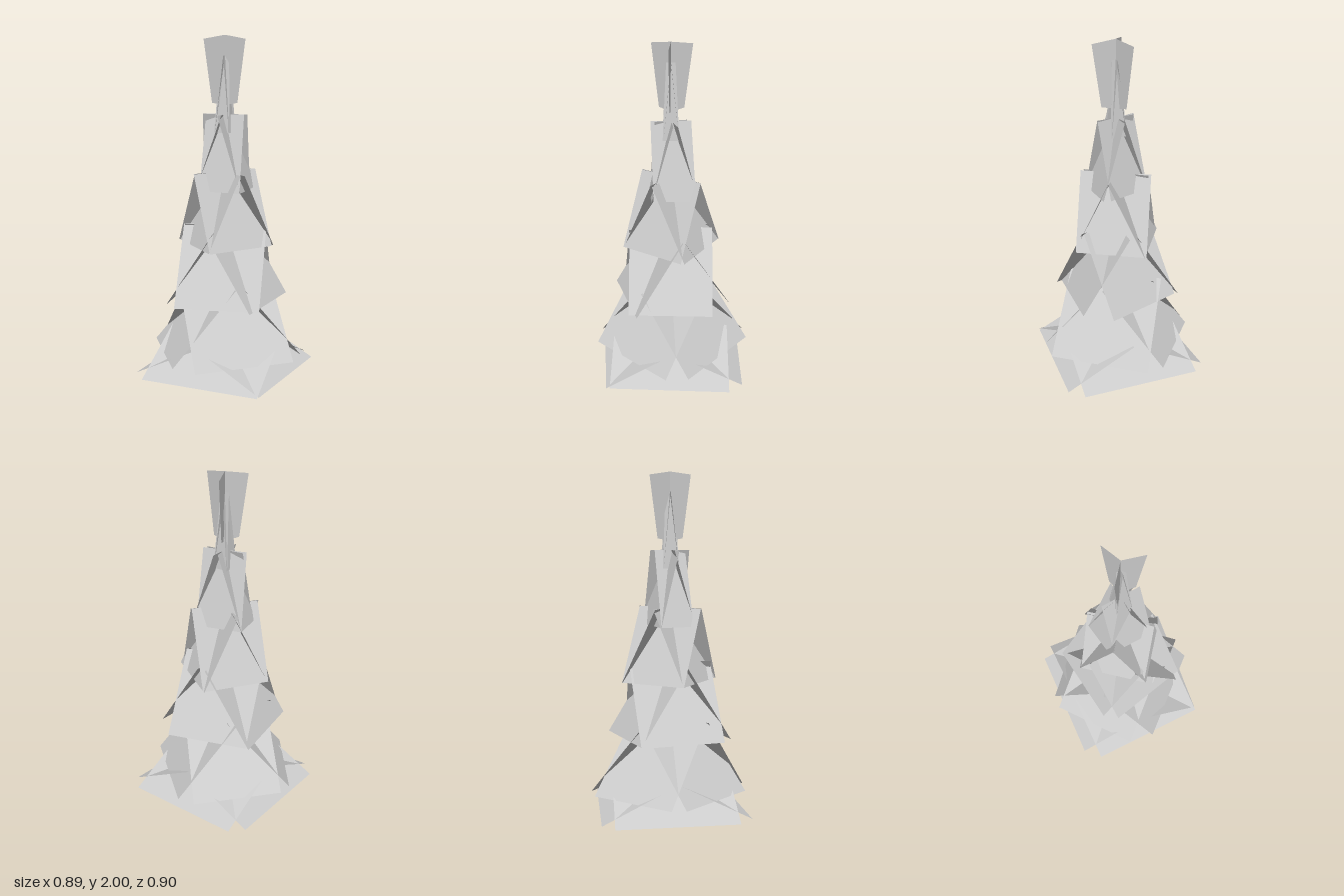
import * as THREE from 'three';

const leafMat = new THREE.MeshStandardMaterial({ color: 0xcccccc, side: THREE.DoubleSide, flatShading: true });
const barkMat = new THREE.MeshStandardMaterial({ color: 0xcccccc });

// Each tier: height of hem and ridge, ridge width relative to the hem,
// and four hem edges [x1, z1, x2, z2]
const TIERS = [
  { y: 0.1, top: 0.305, taper: 0.98, hems: [
    [-0.27, 0.45, 0.41, 0.33], [0.41, 0.31, 0.38, -0.37],
    [0.30, -0.44, -0.38, -0.375], [-0.44, -0.30, -0.36, 0.38]] },
  { y: 0.2, top: 0.62, taper: 0.95, hems: [
    [0.08, 0.43, 0.445, -0.015], [0.425, -0.14, -0.06, -0.45],
    [-0.16, -0.425, -0.445, 0], [-0.44, 0.08, -0.07, 0.43]] },
  { y: 0.515, top: 0.94, taper: 1, hems: [
    [-0.12, 0.34, 0.32, 0.16], [0.29, 0.21, 0.26, -0.26],
    [0.11, -0.355, -0.31, -0.16], [-0.33, -0.16, -0.20, 0.30]] },
  { y: 0.835, top: 1.25, taper: 1, hems: [
    [-0.26, 0.07, 0.06, 0.26], [0.07, 0.265, 0.26, -0.08],
    [0.26, -0.1, -0.10, -0.27], [-0.09, -0.27, -0.27, 0.07]] },
  { y: 1.15, top: 1.57, taper: 0.95, hems: [
    [-0.08, 0.14, 0.15, 0.09], [0.15, 0.08, 0.11, -0.15],
    [0.07, -0.155, -0.17, -0.05], [-0.17, -0.05, -0.11, 0.13]] },
  { y: 1.47, top: 1.89, taper: 0.55, hems: [
    [-0.04, 0.05, 0.05, 0.035], [0.05, 0.04, 0.035, -0.05],
    [0.04, -0.05, -0.05, -0.035], [-0.05, -0.04, -0.035, 0.05]] },
];

// Flat bough card sloping from its hem edge up to a wide ridge at the trunk axis
function boughCard([x1, z1, x2, z2], y, top, taper) {
  const hx = (x2 - x1) / 2 * taper, hz = (z2 - z1) / 2 * taper;
  const g = new THREE.BufferGeometry();
  g.setAttribute('position', new THREE.Float32BufferAttribute(
    [x1, y, z1, x2, y, z2, hx, top, hz, -hx, top, -hz], 3));
  g.setIndex([0, 1, 2, 0, 2, 3]);
  g.computeVertexNormals();
  const m = new THREE.Mesh(g, leafMat);
  m.name = 'bough';
  return m;
}

export function createModel() {
  const tree = new THREE.Group();
  tree.name = 'coniferTree';

  // Trunk
  const trunk = new THREE.Mesh(new THREE.CylinderGeometry(0.008, 0.04, 1.6, 12), barkMat);
  trunk.name = 'trunk';
  trunk.position.y = 0.8;
  tree.add(trunk);

  // Branch tiers: four crossing cards each
  TIERS.forEach((t, i) => {
    const tier = new THREE.Group();
    tier.name = `branchTier${i + 1}`;
    for (const hem of t.hems) tier.add(boughCard(hem, t.y, t.top, t.taper));
    tree.add(tier);
  });

  // Crown: three upright vanes around the axis, wider at the top
  const vane = new THREE.Shape([[0, 1.62], [0.08, 1.635], [0.13, 1.98], [0, 2]]
    .map(([x, y]) => new THREE.Vector2(x, y)));
  const vaneGeo = new THREE.ShapeGeometry(vane);
  const crown = new THREE.Group();
  crown.name = 'crown';
  for (let i = 0; i < 3; i++) {
    const m = new THREE.Mesh(vaneGeo, leafMat);
    m.name = 'crownVane';
    m.rotation.y = i * Math.PI * 2 / 3;
    crown.add(m);
  }
  tree.add(crown);

  return tree;
}
